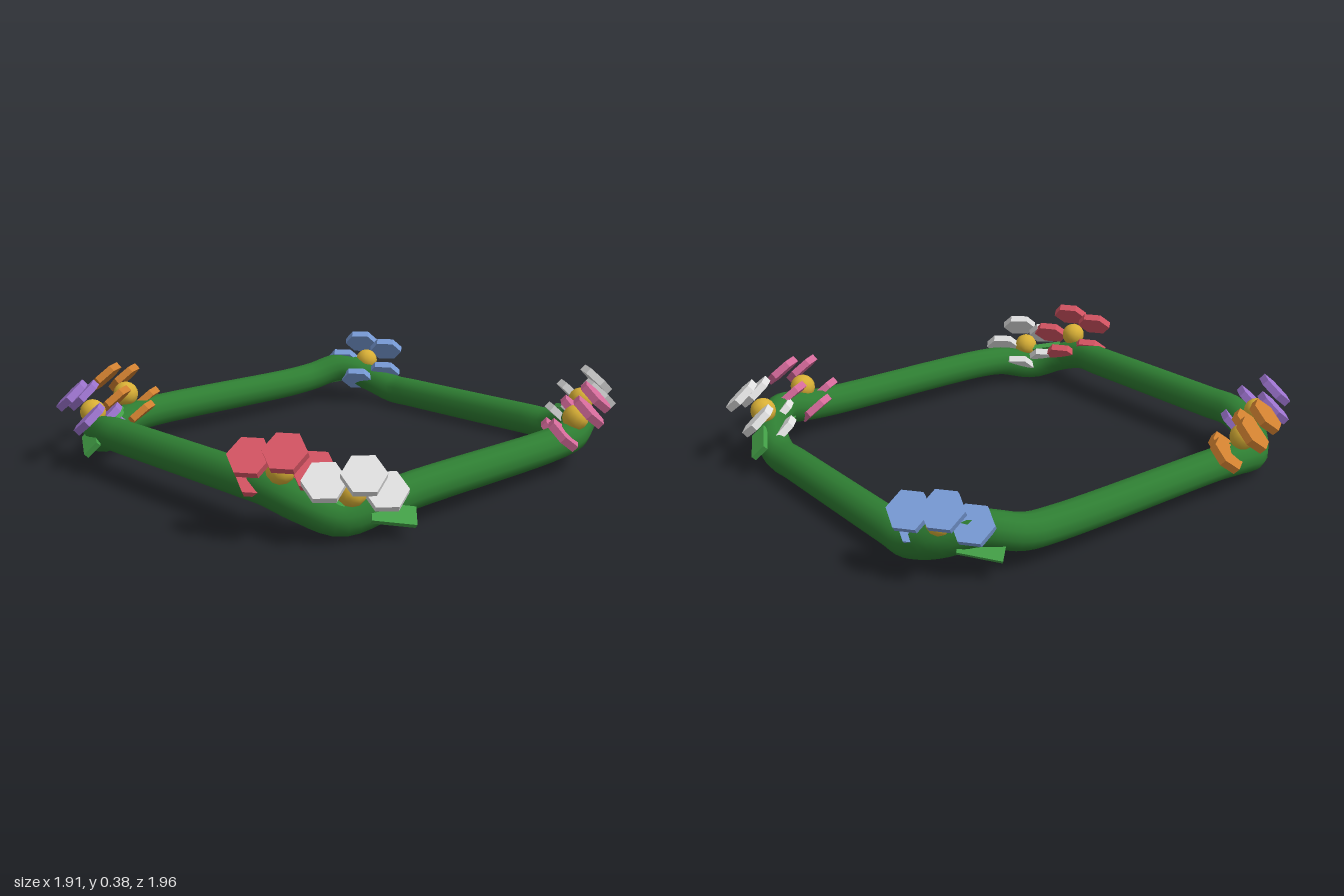
import * as THREE from 'three';

const mat = (name, color, flat = true) => {
  const m = new THREE.MeshStandardMaterial({ color, flatShading: flat });
  m.name = name;
  return m;
};

export function createModel() {
  const model = new THREE.Group();
  model.name = 'flowerGarland';

  const vine = mat('vineGreen', 0x2e7d32, false);
  const leafGreen = mat('leafGreen', 0x43a047);
  const yellow = mat('pollenYellow', 0xd9b036, false);
  const blue = mat('petalBlue', 0x7b9fdc);
  const white = mat('petalWhite', 0xe2e2e2);
  const pink = mat('petalPink', 0xd46a9a);
  const red = mat('petalRed', 0xdb5766);
  const orange = mat('petalOrange', 0xd08030);
  const purple = mat('petalPurple', 0x9d74cf);

  const add = (parent, name, geometry, material) => {
    const mesh = new THREE.Mesh(geometry, material);
    mesh.name = name;
    parent.add(mesh);
    return mesh;
  };

  // Vine: right half of the loop from front to back, then mirrored
  const half = [
    [0.35, 0.158, 0.8], [0.48, 0.157, 0.8], [0.61, 0.122, 0.765], [0.71, 0.076, 0.675],
    [0.765, 0.108, 0.53], [0.772, 0.12, 0.4],
    [0.772, 0.12, -0.43], [0.765, 0.13, -0.57], [0.71, 0.163, -0.71],
    [0.61, 0.115, -0.81], [0.48, 0.071, -0.844], [0.35, 0.07, -0.844],
  ];
  const points = [
    ...half.map(([x, y, z]) => new THREE.Vector3(x, y, z)),
    ...half.slice().reverse().map(([x, y, z]) => new THREE.Vector3(-x, y, z)),
  ];
  const loop = new THREE.CatmullRomCurve3(points, true, 'centripetal');
  add(model, 'vine', new THREE.TubeGeometry(loop, 180, 0.067, 12, true), vine);

  // Flower: five parallel hexagonal petals in a ring, a round heart and one leaf
  const petalGeo = new THREE.CylinderGeometry(0.078, 0.078, 0.03, 6, 1, false, Math.PI / 6);
  const heartGeo = new THREE.SphereGeometry(0.053, 12, 8);
  const leafGeo = new THREE.BoxGeometry(0.16, 0.022, 0.07);
  const ring = 0.115;

  function flower(name, material, x, y, z) {
    const g = new THREE.Group();
    g.name = name;
    for (let i = 0; i < 5; i++) {
      const a = (i / 5) * Math.PI * 2;
      add(g, 'petal', petalGeo, material).position.set(Math.cos(a) * ring, Math.sin(a) * ring, 0);
    }
    add(g, 'flowerHeart', heartGeo, yellow);
    const leaf = add(g, 'leaf', leafGeo, leafGreen);
    leaf.position.set(0.14, -0.065, 0.055);
    leaf.rotation.z = -0.25;
    // Lean outward, away from the middle of the loop
    g.position.set(x, y, z);
    g.rotation.set(0.76, Math.atan2(x, z), 0, 'YXZ');
    model.add(g);
  }

  flower('blueFlower', blue, -0.637, 0.195, -0.82);
  flower('backWhiteFlower', white, 0.632, 0.21, -0.83);
  flower('pinkFlower', pink, 0.79, 0.21, -0.56);
  flower('frontWhiteFlower', white, 0.745, 0.17, 0.66);
  flower('redFlower', red, 0.56, 0.24, 0.81);
  flower('orangeFlower', orange, -0.797, 0.215, 0.508);
  flower('purpleFlower', purple, -0.637, 0.21, 0.775);

  return model;
}
